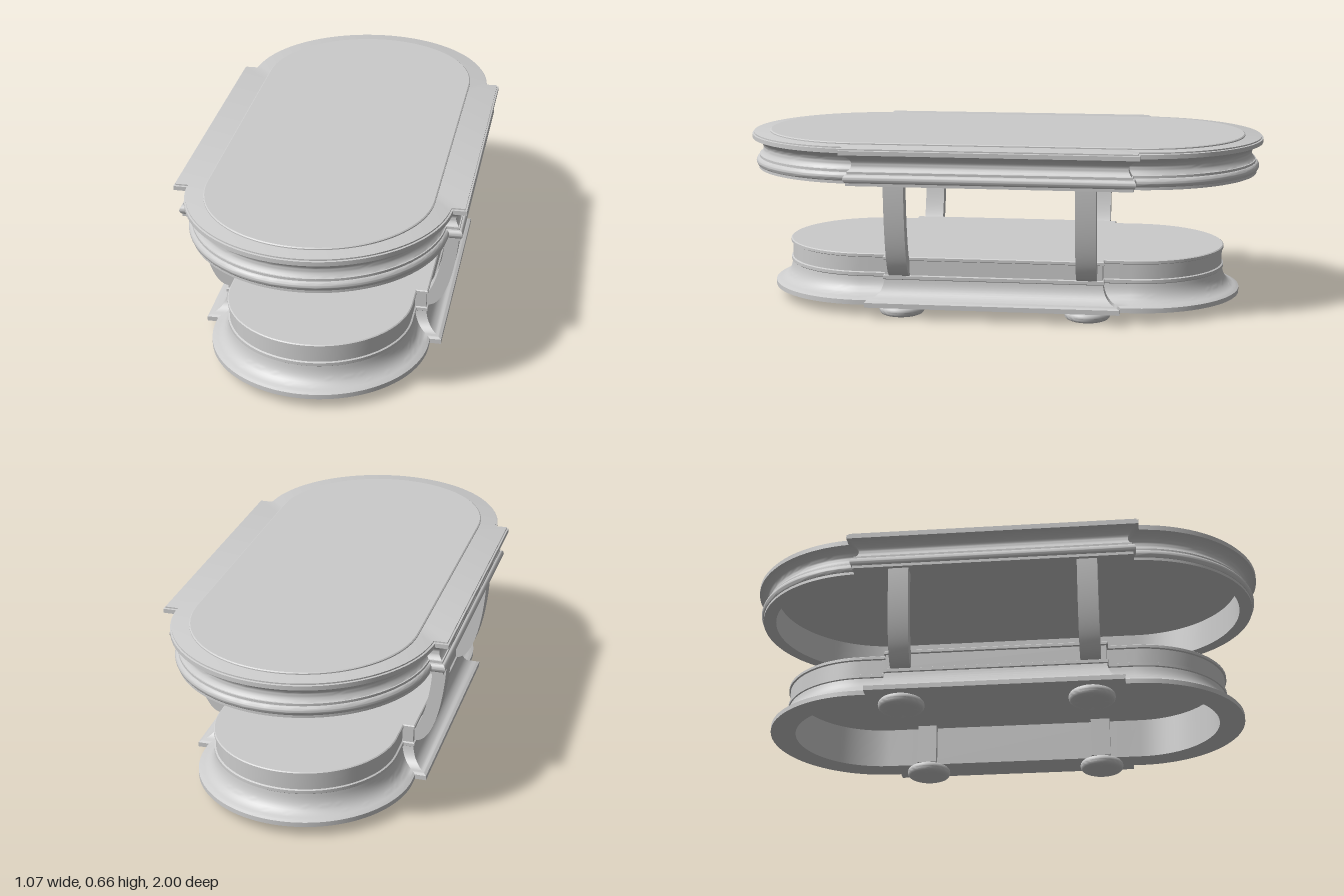
import * as THREE from 'three';
import { toCreasedNormals } from 'three/addons/utils/BufferGeometryUtils.js';

const material = new THREE.MeshStandardMaterial({ color: 0xcccccc });
const ARC = 28; // segments per quarter of a rounded end

// Closed outline: rounded ends of radius r about z = +-c, with wider straight sides
// reaching x = +-bx and stopping at z = +-bz.
function outline({ bx, bz, c, r }) {
  const over = Math.max(0, bz - c);
  const a0 = r > 0 ? Math.asin(Math.min(1, over / r)) : 0;
  const quarter = [[bx, bz], [r * Math.cos(a0), bz]];
  for (let i = 0; i <= ARC; i++) {
    const a = a0 + (Math.PI / 2 - a0) * i / ARC;
    quarter.push([r * Math.cos(a), c + r * Math.sin(a)]);
  }
  const half = [...quarter, ...quarter.slice(0, -1).reverse().map(([x, z]) => [-x, z])];
  return [...half, ...half.map(([x, z]) => [-x, -z])];
}

// Skin a stack of outlines, each at its own height
function loft(loops) {
  const positions = [], index = [];
  const rings = loops.map(l => outline(l));
  const n = rings[0].length;
  rings.forEach((ring, j) => ring.forEach(([x, z]) => positions.push(x, loops[j].y, z)));
  for (let j = 0; j < rings.length - 1; j++) {
    for (let i = 0; i < n; i++) {
      const k = (i + 1) % n;
      const a = j * n + i, b = j * n + k, c = a + n, d = b + n;
      index.push(a, c, b, c, d, b);
    }
  }
  const g = new THREE.BufferGeometry();
  g.setAttribute('position', new THREE.Float32BufferAttribute(positions, 3));
  g.setIndex(index);
  return toCreasedNormals(g, 0.6);
}

const point = y => ({ bx: 0, bz: 0, c: 0, r: 0, y });
const stadium = (r, c, y) => ({ bx: r, bz: c, c, r, y });

// Hollow moulded body: ceiling, inner wall, underside, outer profile [offset, y], top
function mouldedBody(size, profile, innerR, ceiling) {
  const { bx, bz, c, r } = size;
  const inner = y => ({ bx: innerR, bz: bz - 0.06, c, r: innerR, y });
  const outer = profile.map(([d, y]) => ({ bx: bx + d, bz: bz + d, c, r: r + d, y }));
  return loft([point(ceiling), inner(ceiling), inner(profile[0][1]), ...outer,
    point(profile[profile.length - 1][1])]);
}

// Points along a concave or convex bow between two profile points
function bow(d0, y0, cd, cy, d1, y1, n = 8) {
  return new THREE.QuadraticBezierCurve(new THREE.Vector2(d0, y0), new THREE.Vector2(cd, cy),
    new THREE.Vector2(d1, y1)).getPoints(n).map(p => [p.x, p.y]);
}

export function createModel() {
  const group = new THREE.Group();
  const add = (name, geometry, parent = group) => {
    const mesh = new THREE.Mesh(geometry, material);
    mesh.name = name;
    parent.add(mesh);
    return mesh;
  };

  // Table top with bead, cove and flat rim
  add('tableTop', mouldedBody({ bx: 0.535, bz: 0.55, c: 0.513, r: 0.487 }, [
    [-0.022, 0.517], [-0.022, 0.528],
    ...bow(-0.02, 0.528, -0.006, 0.543, -0.02, 0.558),
    [-0.026, 0.56], [-0.026, 0.569],
    ...bow(-0.03, 0.57, -0.062, 0.606, -0.008, 0.632, 10),
    [0, 0.634], [0, 0.65], [-0.006, 0.652], [-0.006, 0.657],
  ], 0.415, 0.635));

  // Slightly raised panel on the top
  add('topPanel', loft([stadium(0.418, 0.513, 0.655), stadium(0.418, 0.513, 0.661),
    stadium(0.414, 0.513, 0.664), point(0.664)]));

  // Base plinth with flared foot moulding and upright band
  add('basePlinth', mouldedBody({ bx: 0.45, bz: 0.48, c: 0.513, r: 0.408 }, [
    [0, 0.042], [0, 0.06], [-0.008, 0.064],
    ...bow(-0.012, 0.066, -0.06, 0.078, -0.066, 0.138, 10),
    [-0.062, 0.141], [-0.062, 0.153], [-0.068, 0.156], [-0.068, 0.212],
    [-0.062, 0.215], [-0.062, 0.225], [-0.066, 0.228],
  ], 0.312, 0.2));

  // Curved leg cross-section, drawn in x and y
  const legShape = new THREE.Shape();
  legShape.moveTo(0.37, 0.155);
  legShape.lineTo(0.39, 0.155);
  legShape.bezierCurveTo(0.46, 0.165, 0.495, 0.36, 0.498, 0.53);
  legShape.lineTo(0.447, 0.53);
  legShape.bezierCurveTo(0.447, 0.39, 0.42, 0.26, 0.385, 0.21);
  legShape.lineTo(0.37, 0.21);
  const legGeometry = toCreasedNormals(new THREE.ExtrudeGeometry(legShape,
    { depth: 0.076, bevelEnabled: false, curveSegments: 20 }).translate(0, 0, -0.038), 0.5);

  // Flattened bun foot
  const footProfile = [[0, 0], [0.07, 0], [0.079, 0.004], [0.085, 0.011], [0.087, 0.02],
    [0.085, 0.029], [0.079, 0.036], [0.07, 0.04], [0.066, 0.043], [0, 0.043]];
  const footGeometry = toCreasedNormals(new THREE.LatheGeometry(
    footProfile.map(([x, y]) => new THREE.Vector2(x, y)), 40), 0.6);
  const braceGeometry = new THREE.BoxGeometry(0.07, 0.16, 0.076);

  // Four corners: leg, foot and the brace inside the plinth
  for (const sx of [1, -1]) {
    for (const sz of [1, -1]) {
      const corner = new THREE.Group();
      corner.name = (sz > 0 ? 'front' : 'back') + (sx > 0 ? 'Left' : 'Right') + 'Support';
      corner.position.z = sz * 0.354;
      corner.rotation.y = sx > 0 ? 0 : Math.PI;
      add('leg', legGeometry, corner);
      add('foot', footGeometry, corner).position.x = 0.347;
      add('brace', braceGeometry, corner).position.set(0.315, 0.122, 0);
      group.add(corner);
    }
  }
  return group;
}
